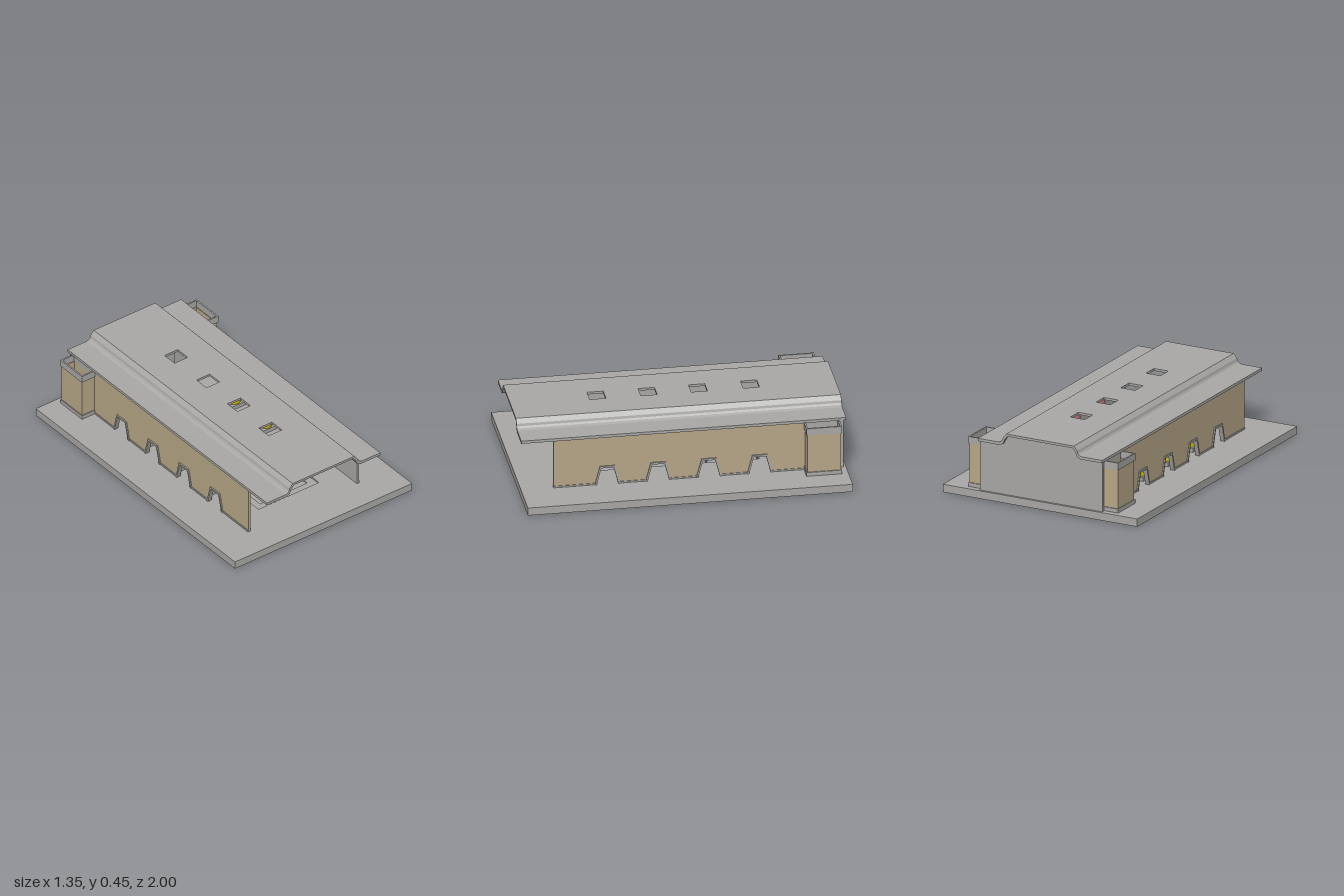
import * as THREE from 'three';

const mat = (name, color) => {
  const m = new THREE.MeshStandardMaterial({ color });
  m.name = name;
  return m;
};

export function createModel() {
  const stone = mat('grey stone', 0xaaa9a7);
  const sand = mat('sandstone', 0xb8a888);
  const ochre = mat('ochre', 0xa68f50);
  const blue = mat('blue', 0x626bbb);
  const red = mat('red', 0xb56a6a);
  const yellow = mat('yellow', 0xcbb80a);
  const bronze = mat('bronze', 0x857208);
  const earth = mat('dark earth', 0x55453a);

  const root = new THREE.Group();
  root.name = 'pillaredHall';
  const add = (name, geo, m, x = 0, y = 0, z = 0, parent = root) => {
    const mesh = new THREE.Mesh(geo, m);
    mesh.name = name;
    mesh.position.set(x, y, z);
    parent.add(mesh);
    return mesh;
  };
  // Box given by its limits on each axis
  const block = (name, m, x0, x1, y0, y1, z0, z1, parent) =>
    add(name, new THREE.BoxGeometry(Math.abs(x1 - x0), y1 - y0, z1 - z0), m,
      (x0 + x1) / 2, (y0 + y1) / 2, (z0 + z1) / 2, parent);
  const poly = pts => new THREE.Shape(pts.map(p => new THREE.Vector2(...p)));
  const rect = (x0, x1, y0, y1) => poly([[x0, y0], [x1, y0], [x1, y1], [x0, y1]]);
  const extrude = (shape, depth) =>
    new THREE.ExtrudeGeometry(shape, { depth, bevelEnabled: false });
  // Horizontal plate drawn in x and z, lying between y0 and y1
  const plate = (name, m, shape, y0, y1) =>
    add(name, extrude(shape, y1 - y0).rotateX(Math.PI / 2), m, 0, y1, 0);
  // Upright plate drawn in z and y, lying between x0 and x1
  const upright = (name, m, shape, x0, x1) =>
    add(name, extrude(shape, x1 - x0).rotateY(-Math.PI / 2), m, x1, 0, 0);
  const bySide = (s, a, b) => (s > 0 ? [a, b] : [-b, -a]);

  // Ground slab with a shallow stepped basin
  const withHole = (outer, hole) => { outer.holes.push(hole); return outer; };
  block('slabBottom', stone, -0.675, 0.675, 0, 0.03, -1, 1);
  plate('slabTop', stone, withHole(rect(-0.675, 0.675, -1, 1), rect(-0.23, 0.23, -0.5, 0.65)), 0.03, 0.05);
  plate('basinStep', stone, withHole(rect(-0.23, 0.23, -0.5, 0.65), rect(-0.18, 0.18, -0.45, 0.6)), 0.03, 0.04);

  // Dark pattern on the underside
  const mark = pts => {
    add('undersideMark', new THREE.ShapeGeometry(poly(pts)).rotateX(Math.PI / 2), earth, 0, -0.001, 0);
  };
  const stroke = (x0, z0, x1, z1, w = 0.016) => {
    const l = Math.hypot(x1 - x0, z1 - z0), a = -(z1 - z0) / l * w, b = (x1 - x0) / l * w;
    mark([[x0 + a, z0 + b], [x0 - a, z0 - b], [x1 - a, z1 - b], [x1 + a, z1 + b]]);
  };
  mark([[-0.43, -0.45], [0, -0.36], [0.43, -0.45], [0.61, 0.36], [0, 0.51], [-0.61, 0.36]]);
  for (const s of [-1, 1]) {
    stroke(0, 0.66, s * 0.67, 0.5);
    stroke(s * 0.43, 0.565, s * 0.52, 0.965);
    stroke(0, 0.66, s * 0.09, 0.985);
  }

  // Roof: raised middle with four skylights, stepped eaves at both sides
  const skylights = [-0.48, -0.16, 0.15, 0.465];
  const roofTop = rect(-0.235, 0.235, -1, 1);
  skylights.forEach(z => roofTop.holes.push(rect(-0.05, 0.05, z - 0.05, z + 0.05)));
  plate('roofMiddle', stone, roofTop, 0.43, 0.445);
  const eave = [[0.235, 0.445], [0.258, 0.418], [0.262, 0.403], [0.27, 0.392], [0.288, 0.385],
    [0.432, 0.385], [0.432, 0.367], [0.28, 0.367], [0.258, 0.378], [0.25, 0.393], [0.246, 0.408], [0.225, 0.43], [0.235, 0.43]];
  for (const s of [-1, 1])
    add('roofEave', extrude(poly(eave.map(([x, y]) => [s * x, y])), 2), stone, 0, 0, -1);

  // Back wall following the roof line
  const half = [[0.425, 0.05], [0.425, 0.37], [0.28, 0.37], [0.25, 0.395], [0.225, 0.432]];
  const gable = poly([...half, ...half.map(([x, y]) => [-x, y]).reverse()]);
  add('backWall', extrude(gable, 0.022), stone, 0, 0, -0.985);

  // Throne niche with chamfered doorway and steps
  block('nichePanel', ochre, -0.165, 0.165, 0.05, 0.43, -0.9, -0.88);
  add('nicheDoor', extrude(poly([[-0.11, 0.05], [0.11, 0.05], [0.11, 0.365], [0.05, 0.408], [-0.05, 0.408], [-0.11, 0.365]]), 0.008),
    ochre, 0, 0, -0.88);
  block('lowerStep', blue, -0.11, 0.11, 0.05, 0.066, -0.87, -0.68);
  block('upperStep', blue, -0.11, 0.11, 0.066, 0.08, -0.87, -0.75);

  const windows = [-0.47, -0.157, 0.155, 0.468];
  const wallOutline = () => {
    const pts = [[-0.962, 0.05]];
    for (const z of windows)
      pts.push([z - 0.067, 0.05], [z - 0.038, 0.16], [z + 0.038, 0.16], [z + 0.067, 0.05]);
    return poly([...pts, [0.8, 0.05], [0.8, 0.37], [-0.962, 0.37]]);
  };

  for (const s of [-1, 1]) {
    // Long walls: sandstone outside, grey stone inside, framed windows
    upright('wallOutside', sand, wallOutline(), ...bySide(s, 0.414, 0.42));
    upright('wallInside', stone, wallOutline(), ...bySide(s, 0.406, 0.414));
    for (const z of windows)
      upright('windowFrame', stone, poly([[z - 0.078, 0.05], [z - 0.046, 0.172], [z + 0.046, 0.172], [z + 0.078, 0.05],
        [z + 0.067, 0.05], [z + 0.038, 0.16], [z - 0.038, 0.16], [z - 0.067, 0.05]]), ...bySide(s, 0.4, 0.428));
    const stops = [-0.74, ...windows.flatMap(z => [z - 0.07, z + 0.07]), 0.8];
    for (let i = 0; i < stops.length; i += 2)
      block('wallSkirting', stone, s * 0.42, s * 0.424, 0.05, 0.06, stops[i], stops[i + 1]);

    // Walls beside the niche
    block('nicheSideWall', stone, s * 0.25, s * 0.406, 0.05, 0.37, -0.87, -0.84);
    block('nichePilaster', stone, s * 0.18, s * 0.25, 0.05, 0.4, -0.86, -0.82);
    block('pilasterHead', stone, s * 0.18, s * 0.226, 0.4, 0.432, -0.86, -0.82);
    block('nicheReveal', stone, s * 0.165, s * 0.18, 0.05, 0.43, -0.9, -0.82);

    // Hollow rear towers with grey base and rim
    const ring = (g, t) => withHole(rect(...bySide(s, 0.42 - g, 0.514 + g), -0.953 - g, -0.747 + g),
      rect(...bySide(s, 0.422, 0.514 + g - t), -0.953 - g + t, -0.747 + g - t));
    plate('towerBase', stone, ring(0.006, 0.018), 0.05, 0.075);
    plate('towerWalls', sand, ring(0, 0.008), 0.075, 0.325);
    plate('towerRim', stone, ring(0.006, 0.01), 0.325, 0.37);

    // Painted columns
    for (const z of [-0.313, 0, 0.312]) {
      const column = new THREE.Group();
      column.name = 'column';
      column.position.set(s * 0.312, 0, z);
      root.add(column);
      const drum = (name, m, r0, r1, y0, y1) =>
        add(name, new THREE.CylinderGeometry(r1, r0, y1 - y0, 24), m, 0, (y0 + y1) / 2, 0, column);
      block('columnPlinth', stone, -0.05, 0.05, 0.05, 0.075, -0.05, 0.05, column);
      drum('columnFoot', yellow, 0.043, 0.043, 0.075, 0.11);
      drum('columnShaft', red, 0.042, 0.029, 0.11, 0.285);
      const capital = [[0.029, 0.283], [0.038, 0.291], [0.042, 0.302], [0.042, 0.345], [0, 0.345]];
      add('columnCapital', new THREE.LatheGeometry(capital.map(p => new THREE.Vector2(...p)), 24), blue, 0, 0, 0, column);
      block('columnCap', red, -0.048, 0.048, 0.345, 0.367, -0.048, 0.048, column);
    }

    // Braziers beside the steps
    add('brazierStand', new THREE.CylinderGeometry(0.03, 0.044, 0.065, 4).rotateY(Math.PI / 4), blue, s * 0.163, 0.0825, -0.63);
    const bowl = [[0, 0.113], [0.014, 0.115], [0.027, 0.125], [0.037, 0.138], [0.031, 0.136], [0, 0.124]];
    add('brazierBowl', new THREE.LatheGeometry(bowl.map(p => new THREE.Vector2(...p)), 20), bronze, s * 0.163, 0, -0.63);

    // Low benches
    for (const z of [-0.157, -0.47]) {
      block('benchSeat', blue, s * 0.186, s * 0.21, 0.06, 0.066, z - 0.036, z + 0.036);
      for (const d of [-0.02, 0.02])
        block('benchLeg', blue, s * 0.19, s * 0.206, 0.04, 0.06, z + d - 0.005, z + d + 0.005);
    }
  }
  return root;
}
